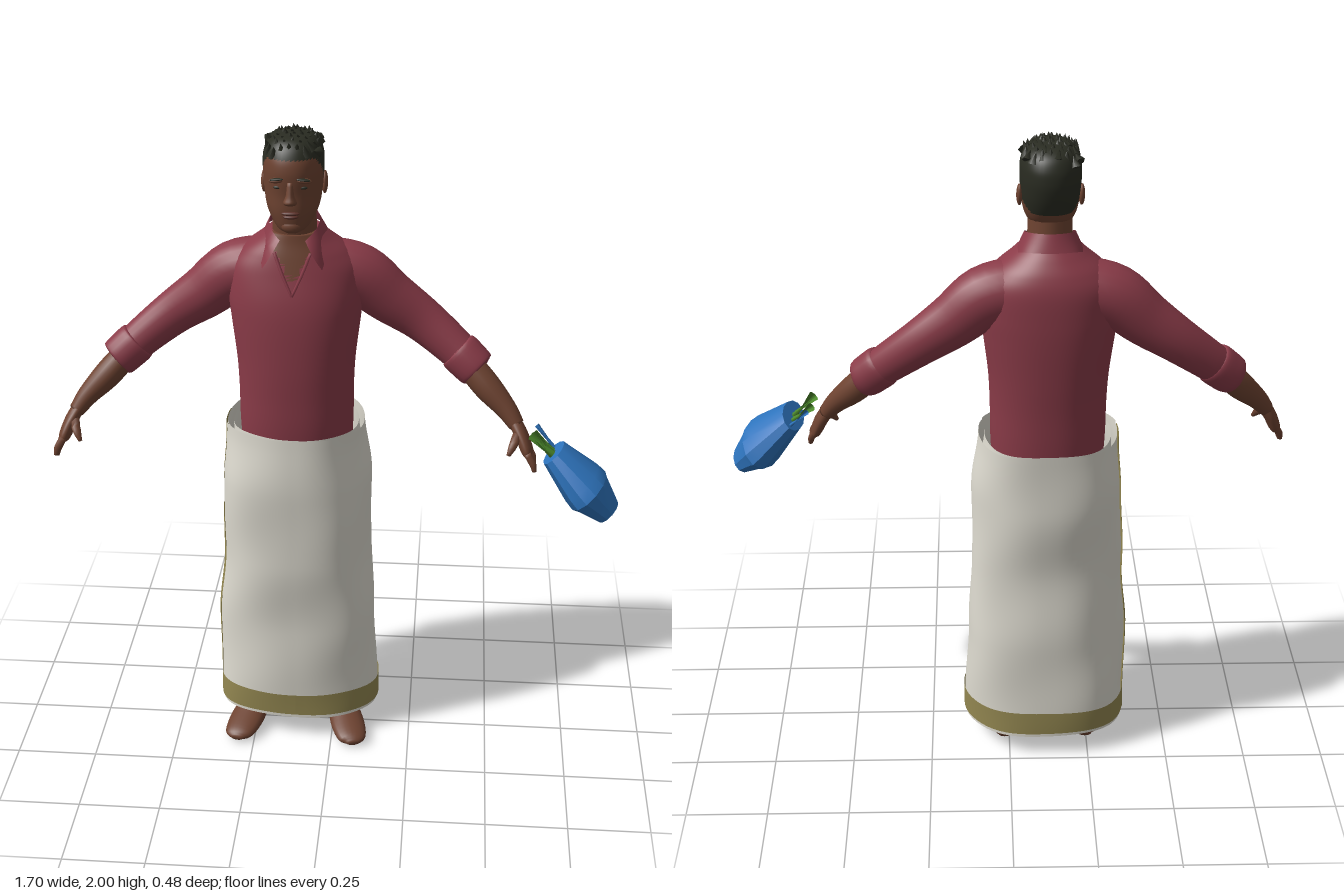
import * as THREE from 'three';
import { toCreasedNormals } from 'three/addons/utils/BufferGeometryUtils.js';

const mat = (name, color, side = THREE.FrontSide) => {
  const m = new THREE.MeshStandardMaterial({ color, side });
  m.name = name;
  return m;
};

export function createModel() {
  const skin = mat('skin', 0x6e4331);
  const hair = mat('hair', 0x2a2c22);
  const shirt = mat('shirt red', 0x8a3b48, THREE.DoubleSide);
  const cloth = mat('cloth white', 0xdedbd0, THREE.DoubleSide);
  const khaki = mat('border khaki', 0x938751, THREE.DoubleSide);
  const blue = mat('petal blue', 0x2e74bd);
  const green = mat('stem green', 0x4d8a2c);
  const lip = mat('lip brown', 0x5a3028);

  const model = new THREE.Group();
  const body = new THREE.Group();
  body.name = 'man';
  body.position.x = -0.115;
  model.add(body);

  const add = (name, geo, material, parent = body) => {
    const m = new THREE.Mesh(geo, material);
    m.name = name;
    parent.add(m);
    return m;
  };

  // Grid surface; faces whose centre passes "second" go to material group 1
  const surface = (rows, closed, caps, second) => {
    const n = rows[0].length, pts = rows.flat(), a = [], b = [];
    const c = new THREE.Vector3();
    const tri = (i, j, k) => {
      c.copy(pts[i]).add(pts[j]).add(pts[k]).divideScalar(3);
      (second && second(c) ? b : a).push(i, j, k);
    };
    for (let r = 0; r < rows.length - 1; r++)
      for (let s = 0; s < (closed ? n : n - 1); s++) {
        const p = r * n + s, q = r * n + (s + 1) % n;
        tri(p, q, q + n);
        tri(p, q + n, p + n);
      }
    if (caps) for (const end of [0, rows.length - 1]) {
      const mid = pts.length;
      pts.push(rows[end].reduce((v, p) => v.add(p), new THREE.Vector3()).divideScalar(n));
      for (let s = 0; s < n; s++) {
        const p = end * n + s, q = end * n + (s + 1) % n;
        if (end) tri(p, q, mid); else tri(q, p, mid);
      }
    }
    const g = new THREE.BufferGeometry().setFromPoints(pts);
    g.setIndex([...a, ...b]);
    if (second) {
      g.addGroup(0, a.length, 0);
      g.addGroup(a.length, b.length, 1);
    }
    g.computeVertexNormals();
    return g;
  };

  // Elliptical sweep through keys [x, y, z, depth radius, width radius]
  const sweep = (keys, { segs = 24, sides = 20, level = false, second, power = 1 } = {}) => {
    const path = new THREE.CatmullRomCurve3(keys.map(k => new THREE.Vector3(k[0], k[1], k[2])), false, 'catmullrom');
    const size = new THREE.CatmullRomCurve3(keys.map(k => new THREE.Vector3(k[3], k[4] ?? k[3], 0)), false, 'catmullrom');
    const bend = v => Math.sign(v) * Math.abs(v) ** power;
    const rows = [];
    for (let i = 0; i <= segs; i++) {
      const p = path.getPoint(i / segs), r = size.getPoint(i / segs);
      const t = level ? new THREE.Vector3(0, 1, 0) : path.getTangent(i / segs);
      const u = Math.abs(t.z) > 0.8 ? new THREE.Vector3(0, 1, 0) : new THREE.Vector3(0, 0, 1);
      u.addScaledVector(t, -u.dot(t)).normalize();
      const v = t.clone().cross(u);
      rows.push(Array.from({ length: sides }, (_, s) => {
        const a = s / sides * Math.PI * 2;
        return p.clone().addScaledVector(u, bend(Math.cos(a)) * Math.max(r.x, 0.001))
          .addScaledVector(v, bend(Math.sin(a)) * Math.max(r.y, 0.001));
      }));
    }
    return surface(rows, true, true, second);
  };
  // Upright section [y, half width, front z, back z] to a sweep key
  const upright = ([y, w, f, b]) => [0, y, (f + b) / 2, (f - b) / 2, w];

  // Shirt body with an open neck
  add('shirtBody', sweep([
    [0.95, 0.165, 0.07, -0.19], [1.09, 0.172, 0.083, -0.197], [1.2, 0.173, 0.085, -0.2],
    [1.3, 0.178, 0.085, -0.205], [1.42, 0.192, 0.08, -0.21], [1.5, 0.2, 0.07, -0.21],
    [1.58, 0.195, 0.05, -0.205], [1.63, 0.16, 0.037, -0.19], [1.67, 0.11, 0.026, -0.165], [1.7, 0.075, 0.02, -0.14],
  ].map(upright), {
    segs: 72, sides: 64, level: true, power: 0.92,
    second: c => c.z > -0.03 && c.y > 1.56 && Math.abs(c.x) < (c.y - 1.56) * 0.55,
  }), [shirt, skin]);
  for (const s of [-1, 1])
    add('placketEdge', sweep([[s * 0.052, 1.65, 0.03, 0.005], [s * 0.028, 1.59, 0.05, 0.005], [0, 1.53, 0.067, 0.004]],
      { sides: 6, segs: 8 }), shirt);

  // Collar
  const collar = [];
  for (let v = 0; v <= 4; v++) {
    const k = v / 4;
    collar.push(Array.from({ length: 41 }, (_, i) => {
      const u = i / 20 - 1, w = Math.abs(u);
      const a = u * THREE.MathUtils.degToRad(150 - 30 * k);
      return new THREE.Vector3(Math.sin(a) * (0.073 + 0.027 * k),
        (1.745 - 0.06 * w * w) * (1 - k) + (1.695 - 0.09 * w ** 3) * k,
        -0.05 - Math.cos(a) * (0.085 + 0.02 * k + 0.085 * k * w * w));
    }));
  }
  add('collar', surface(collar, false, false), shirt);

  // Arms and hands
  for (const s of [-1, 1]) {
    const limb = (name, keys, material, opt) =>
      add((s > 0 ? 'left' : 'right') + name, sweep(keys.map(([x, ...k]) => [s * x, ...k]), opt), material);
    limb('Sleeve', [[0.06, 1.575, -0.085, 0.09, 0.085], [0.18, 1.545, -0.095, 0.085, 0.09], [0.275, 1.472, -0.1, 0.07, 0.08],
      [0.37, 1.405, -0.1, 0.058, 0.068], [0.46, 1.335, -0.08, 0.053, 0.06], [0.53, 1.275, -0.055, 0.05, 0.054]], shirt);
    limb('Cuff', [[0.478, 1.322, -0.072, 0.048, 0.05], [0.485, 1.316, -0.07, 0.057, 0.063], [0.515, 1.29, -0.06, 0.058, 0.063],
      [0.54, 1.268, -0.052, 0.055, 0.06], [0.545, 1.264, -0.05, 0.046, 0.05]], shirt, { segs: 16 });
    limb('Forearm', [[0.5, 1.3, -0.06, 0.04], [0.57, 1.225, -0.03, 0.043, 0.042], [0.63, 1.165, -0.002, 0.033, 0.032],
      [0.665, 1.12, 0.018, 0.027, 0.024]], skin);
    limb('Palm', [[0.655, 1.135, 0.012, 0.024, 0.02], [0.68, 1.095, 0.03, 0.037, 0.02], [0.7, 1.05, 0.05, 0.04, 0.018],
      [0.705, 1.04, 0.053, 0.028, 0.01]], skin, { segs: 12 });
    for (let f = 0; f < 4; f++) {
      const z = 0.022 + f * 0.019, len = [0.8, 0.95, 1, 0.85][f];
      limb('Finger', [[0.698, 1.055, z, 0.011], [0.716, 1.055 - 0.035 * len, z + 0.008, 0.0105],
        [0.722, 1.055 - 0.062 * len, z + 0.013, 0.006]], skin, { sides: 8, segs: 8 });
    }
    limb('Thumb', [[0.67, 1.105, 0.04, 0.015], [0.655, 1.08, 0.078, 0.013], [0.642, 1.055, 0.095, 0.006]],
      skin, { sides: 8, segs: 8 });

    // Legs and feet
    limb('Leg', [[0.135, 0.03, -0.085, 0.045, 0.04], [0.135, 0.12, -0.085, 0.042], [0.13, 0.32, -0.085, 0.06],
      [0.115, 0.55, -0.06, 0.065], [0.1, 0.97, -0.06, 0.09, 0.08]], skin);
    limb('Foot', [[0.13, 0.03, -0.162, 0.015, 0.02], [0.13, 0.04, -0.135, 0.038, 0.038], [0.14, 0.044, -0.04, 0.044, 0.045],
      [0.165, 0.032, 0.06, 0.031, 0.055], [0.185, 0.022, 0.13, 0.021, 0.045], [0.19, 0.018, 0.155, 0.008, 0.018]], skin);
  }

  // Wrapped cloth: sections [y, half width, front z, back z]
  const wrap = [[0.075, 0.254, 0.106, -0.235], [0.4, 0.247, 0.108, -0.231], [0.65, 0.23, 0.12, -0.224],
    [0.9, 0.226, 0.13, -0.243], [1.09, 0.208, 0.12, -0.243]];
  const wrapPoint = (y, deg, off) => {
    const i = Math.max(0, Math.min(3, wrap.findIndex(r => r[0] >= y) - 1));
    const t = THREE.MathUtils.smoothstep(y, wrap[i][0], wrap[i + 1][0]);
    const [w, f, b] = [1, 2, 3].map(k => THREE.MathUtils.lerp(wrap[i][k], wrap[i + 1][k], t));
    const a = THREE.MathUtils.degToRad(deg), sn = Math.sin(a), cs = Math.cos(a);
    const o = off + 0.003 * Math.sin(5 * a + 7 * y) + 0.002 * Math.sin(3 * a - 17 * y);
    const bend = v => Math.sign(v) * Math.abs(v) ** 0.85;
    return new THREE.Vector3(bend(sn) * (w + o), y, (f + b) / 2 + bend(cs) * ((f - b) / 2 + o));
  };
  const drape = (name, y0, y1, d0, d1, off, material, rows = 40) => add(name, surface(
    Array.from({ length: rows + 1 }, (_, r) => Array.from({ length: 73 }, (_, i) =>
      wrapPoint(y0 + (y1 - y0) * r / rows, d0 + (d1 - d0) * i / 72, off))), false, false), material);
  drape('wrapOuter', 0.075, 1.09, 0, 360, 0, cloth);
  drape('wrapInner', 0.085, 1.085, 0, 360, -0.018, cloth);
  drape('wrapFlap', 0.165, 1.09, 285, 425, 0.004, cloth);
  drape('hemBorder', 0.088, 0.165, 0, 360, 0.004, khaki, 4);
  drape('sideBorder', 0.088, 1.085, 260, 285, 0.005, khaki);

  // Neck and head
  add('neck', sweep([[0, 1.58, -0.06, 0.07, 0.075], [0, 1.68, -0.05, 0.068, 0.066], [0, 1.8, -0.04, 0.07, 0.062]],
    { level: true }), skin);
  add('head', sweep([
    [1.715, 0.022, 0.048, -0.01], [1.728, 0.045, 0.06, -0.05], [1.76, 0.066, 0.067, -0.1], [1.79, 0.077, 0.07, -0.125],
    [1.83, 0.083, 0.07, -0.145], [1.87, 0.086, 0.074, -0.157], [1.9, 0.087, 0.074, -0.16], [1.93, 0.085, 0.067, -0.156],
    [1.96, 0.074, 0.05, -0.14], [1.978, 0.052, 0.025, -0.11], [1.985, 0.015, -0.01, -0.07],
  ].map(upright), {
    segs: 60, sides: 48, level: true, power: 0.92,
    second: c => c.y > THREE.MathUtils.clamp(1.9 + c.z, 1.795, 1.932),
  }), [skin, hair]);

  const ball = new THREE.SphereGeometry(1, 16, 12);
  const blob = (name, material, x, y, z, sx, sy, sz) => {
    const m = add(name, ball, material);
    m.position.set(x, y, z);
    m.scale.set(sx, sy, sz);
    return m;
  };
  add('nose', sweep([[0, 1.808, 0.068, 0.016, 0.018], [0, 1.818, 0.074, 0.026, 0.019], [0, 1.835, 0.072, 0.02, 0.012],
    [0, 1.872, 0.07, 0.008, 0.008]], { level: true, sides: 12, segs: 12 }), skin);
  blob('upperLip', lip, 0, 1.781, 0.068, 0.026, 0.006, 0.01);
  blob('lowerLip', lip, 0, 1.771, 0.067, 0.022, 0.006, 0.011);
  blob('chin', skin, 0, 1.738, 0.052, 0.028, 0.02, 0.016);
  for (const s of [-1, 1]) {
    blob('eye', hair, s * 0.034, 1.855, 0.061, 0.014, 0.005, 0.006);
    blob('brow', skin, s * 0.036, 1.876, 0.062, 0.025, 0.008, 0.013).rotation.z = s * -0.1;
    blob('eyebrow', hair, s * 0.036, 1.88, 0.068, 0.022, 0.004, 0.008).rotation.z = s * -0.1;
    blob('ear', skin, s * 0.087, 1.835, -0.06, 0.009, 0.033, 0.02).rotation.x = -0.2;
  }

  // Short tufts over the crown
  const tuft = new THREE.ConeGeometry(0.016, 0.034, 5);
  for (let r = 0; r < 8; r++)
    for (let c = -3; c <= 3; c++) {
      const x = c * 0.022 + (r % 2 - 0.5) * 0.008, z = 0.042 - r * 0.023;
      const d = (x / 0.092) ** 2 + ((z + 0.045) / 0.115) ** 2;
      if (d > 0.95) continue;
      const m = add('hairTuft', tuft, hair);
      m.position.set(x, 1.93 + 0.052 * Math.sqrt(1 - d), z);
      m.rotation.set(0.5 + 0.4 * Math.sin(r * 5 + c * 3), r + c, -x * 6);
    }

  // Held flower with stems
  const flower = new THREE.Group();
  flower.name = 'flower';
  body.add(flower);
  const A = new THREE.Vector3(0.775, 1.07, 0.092), B = new THREE.Vector3(0.945, 0.9, 0.132);
  add('blossom', toCreasedNormals(sweep([[0, 0.07], [0.5, 0.114], [0.64, 0.119], [0.72, 0.104], [1, 0.066]]
    .map(([t, r]) => [...A.clone().lerp(B, t).toArray(), r, r * 0.58]), { segs: 4, sides: 12 }), 0.5), blue, flower);
  const stem = (name, from, to, r, material) =>
    add(name, sweep([[...from, r], [...to, r]], { segs: 1, sides: 8 }), material, flower);
  stem('stem', [0.71, 1.13, 0.105], [0.79, 1.05, 0.1], 0.017, green);
  stem('stem', [0.715, 1.115, 0.06], [0.79, 1.05, 0.08], 0.014, green);
  stem('thinStem', [0.725, 1.12, 0.015], [0.79, 1.05, 0.05], 0.008, blue);

  return model;
}
